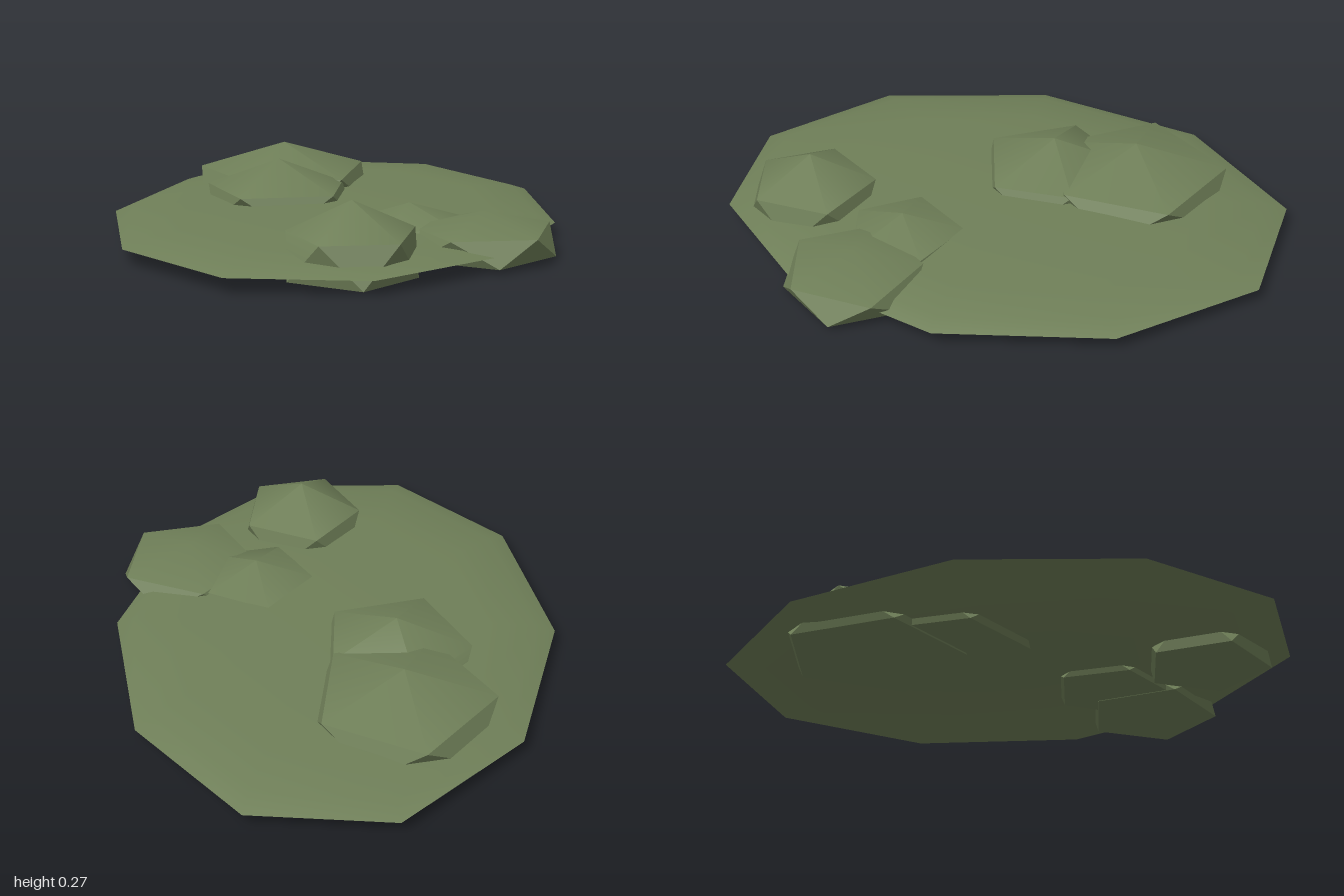
import * as THREE from 'three';
import { toCreasedNormals } from 'three/addons/utils/BufferGeometryUtils.js';

// Skins a stack of equal-sided rings (bottom to top), closed by a centre point at each end.
function skin(rings, bottom, top) {
  const n = rings[0].length;
  const points = [...rings.flat(), bottom, top];
  const low = rings.length * n, high = low + 1, last = (rings.length - 1) * n;
  const index = [];
  for (let i = 0; i < n; i++) {
    const j = (i + 1) % n;
    index.push(low, i, j);
    for (let r = 0; r < rings.length - 1; r++) {
      const a = r * n, b = a + n;
      index.push(a + i, b + j, a + j, a + i, b + i, b + j);
    }
    index.push(high, last + j, last + i);
  }
  const geometry = new THREE.BufferGeometry();
  geometry.setAttribute('position', new THREE.Float32BufferAttribute(points.flat(), 3));
  geometry.setIndex(index);
  return toCreasedNormals(geometry, 0.66);
}

// Ten-sided outline of the ground patch, as [x, z]
const OUTLINE = [
  [-0.455, -1], [0.155, -0.915], [0.67, -0.495], [0.897, 0.107], [0.835, 0.655],
  [0.445, 0.995], [-0.13, 0.975], [-0.675, 0.58], [-0.975, -0.04], [-0.905, -0.67],
];

// Pentagonal clumps: peak [x, y, z], shoulder height, base height and shoulder corners [x, z]
const CLUMPS = [
  { name: 'backRightClump', peak: [-0.53, 0.26, -0.19], shoulder: 0.15, base: 0.015,
    ring: [[-0.815, -0.41], [-0.415, -0.525], [-0.18, -0.18], [-0.41, 0.13], [-0.81, 0.02]] },
  { name: 'middleRightClump', peak: [-0.305, 0.25, 0.045], shoulder: 0.14, base: 0.02,
    ring: [[-0.2, -0.205], [-0.005, 0.035], [-0.215, 0.33], [-0.545, 0.21], [-0.535, -0.115]] },
  { name: 'frontLeftClump', peak: [0.555, 0.275, 0.485], shoulder: 0.155, base: 0.003,
    ring: [[0.35, 0.34], [0.635, 0.245], [0.8, 0.49], [0.625, 0.715], [0.36, 0.625]] },
  { name: 'outerLeftClump', peak: [0.706, 0.18, -0.04], shoulder: 0.115, base: 0.02,
    ring: [[0.49, -0.19], [0.8, -0.305], [0.972, -0.035], [0.78, 0.215], [0.49, 0.12]] },
  { name: 'innerLeftClump', peak: [0.42, 0.182, 0.05], shoulder: 0.11, base: 0.022,
    ring: [[0.23, -0.09], [0.485, -0.165], [0.65, 0.04], [0.485, 0.255], [0.235, 0.19]] },
];

export function createModel() {
  const model = new THREE.Group();
  model.name = 'leafyGroundPatch';
  const green = new THREE.MeshStandardMaterial({ color: 0x6f7f58 });
  green.name = 'mossGreen';

  const add = (name, geometry) => {
    const mesh = new THREE.Mesh(geometry, green);
    mesh.name = name;
    model.add(mesh);
  };

  // Thin lens-shaped patch: flat below, gently domed above
  const ringAt = (scale, y) => OUTLINE.map(([x, z]) => [x * scale, y, z * scale]);
  const levels = [[0.85, 0.042], [1, 0.06], [0.92, 0.085], [0.7, 0.101], [0.4, 0.111]];
  add('groundPatch', skin(levels.map(([s, y]) => ringAt(s, y)), [0, 0.04, 0], [0, 0.115, 0]));

  // Clumps: the base ring is the shoulder ring turned half way round the peak
  for (const { name, peak, shoulder, base, ring } of CLUMPS) {
    const [cx, , cz] = peak;
    const upper = ring.map(([x, z]) => [x, shoulder, z]);
    const lower = ring.map((_, i) => {
      const [x, z] = ring[(i + 3) % 5];
      return [2 * cx - x, base, 2 * cz - z];
    });
    add(name, skin([lower, upper], [cx, base, cz], peak));
  }
  return model;
}
